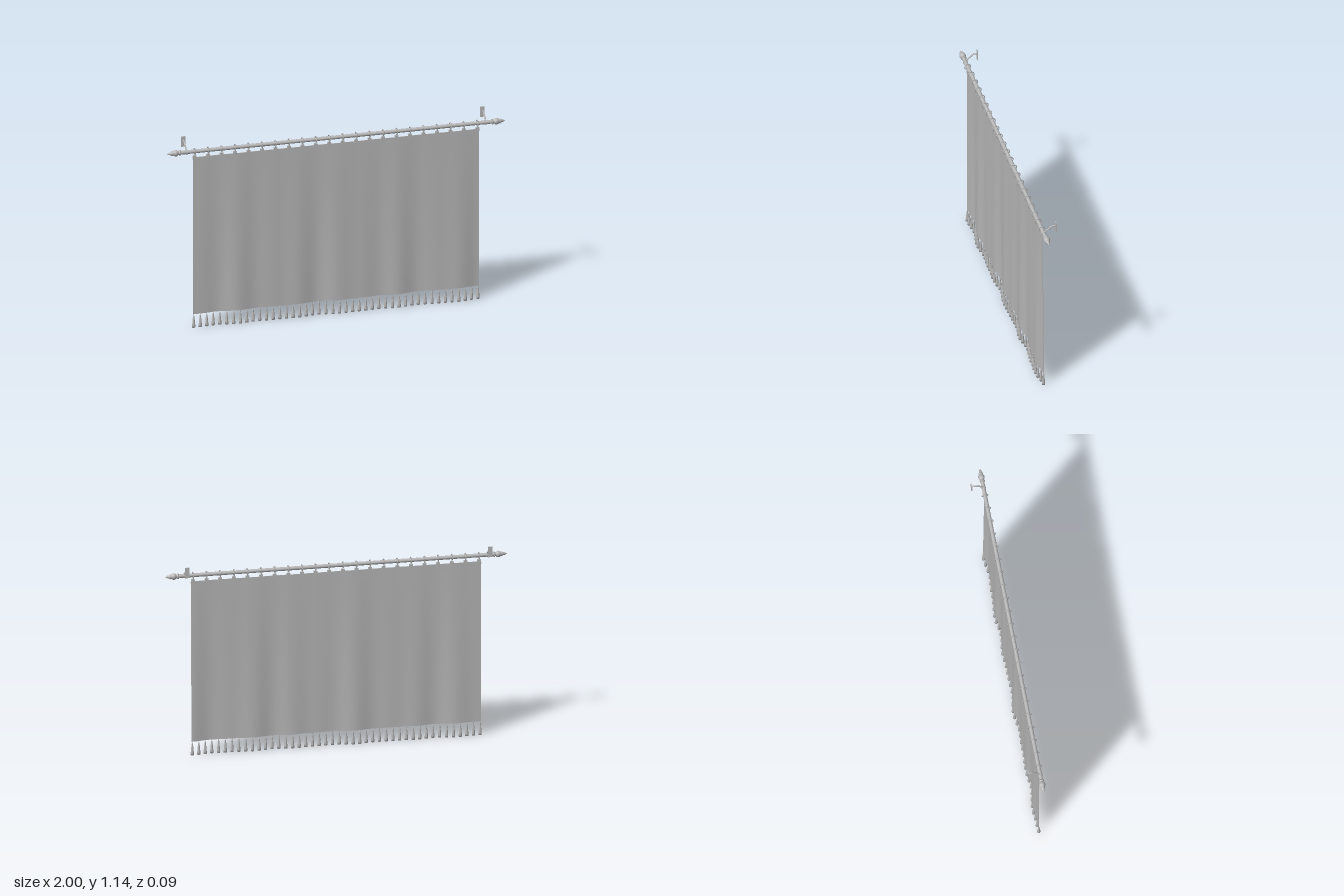
import * as THREE from 'three';

const ROD_Y = 1.073, ROD_Z = 0.027, HALF = 0.845;
const TOP = 1.037, BOTTOM = 0.08;

// Fold depth of the cloth, growing towards the hem
function foldZ(x, y) {
  const t = THREE.MathUtils.clamp((TOP - y) / (TOP - BOTTOM), 0, 1);
  const wave = 0.5 * Math.sin(x * 20 + 0.6) + 0.3 * Math.sin(x * 33 + 2) + 0.2 * Math.sin(x * 11);
  return ROD_Z + wave * (0.002 + 0.009 * t);
}

export function createModel() {
  const root = new THREE.Group();
  root.name = 'curtain';
  const grey = new THREE.MeshStandardMaterial({ color: 0xb8b8b8 });
  grey.name = 'grey';

  function add(parent, name, geometry, x = 0, y = 0, z = 0) {
    const mesh = new THREE.Mesh(geometry, grey);
    mesh.name = name;
    mesh.position.set(x, y, z);
    parent.add(mesh);
    return mesh;
  }
  const lathe = (points, sides) =>
    new THREE.LatheGeometry(points.map(([r, y]) => new THREE.Vector2(r, y)), sides);

  // Rod
  add(root, 'rod', new THREE.CylinderGeometry(0.011, 0.011, 1.86, 16), 0, ROD_Y, ROD_Z).rotation.z = Math.PI / 2;

  // Finials: collar, bulb and pointed tip
  const finial = lathe([[0, 0], [0.015, 0], [0.016, 0.006], [0.011, 0.01], [0.011, 0.014], [0.017, 0.02],
    [0.019, 0.028], [0.017, 0.037], [0.011, 0.044], [0.014, 0.047], [0.014, 0.051], [0.009, 0.056],
    [0.008, 0.064], [0.004, 0.073], [0, 0.08]], 16);

  // Wall bracket: bent arm, rod collar and plate
  const armPath = new THREE.CurvePath();
  const bend = [[ROD_Y + 0.012, ROD_Z - 0.005], [1.116, -0.014], [1.12, -0.022], [1.12, -0.042]]
    .map(([y, z]) => new THREE.Vector3(0, y, z));
  armPath.add(new THREE.LineCurve3(bend[0], bend[1]));
  armPath.add(new THREE.LineCurve3(bend[1], bend[2]));
  armPath.add(new THREE.LineCurve3(bend[2], bend[3]));
  const arm = new THREE.TubeGeometry(armPath, 16, 0.0045, 8);

  for (const side of [-1, 1]) {
    add(root, 'finial', finial, side * 0.918, ROD_Y, ROD_Z).rotation.z = -side * Math.PI / 2;
    const bracket = new THREE.Group();
    bracket.name = 'bracket';
    bracket.position.x = side * 0.883;
    root.add(bracket);
    add(bracket, 'bracketArm', arm);
    add(bracket, 'bracketCollar', new THREE.CylinderGeometry(0.0135, 0.0135, 0.012, 16), 0, ROD_Y, ROD_Z)
      .rotation.z = Math.PI / 2;
    add(bracket, 'wallPlate', new THREE.BoxGeometry(0.025, 0.062, 0.005), 0, 1.112, -0.0425);
  }

  // Rings with cloth clips
  const ring = new THREE.TorusGeometry(0.0175, 0.0028, 6, 20);
  const clip = new THREE.BoxGeometry(0.026, 0.024, 0.008);
  const cp = clip.attributes.position;
  for (let i = 0; i < cp.count; i++) if (cp.getY(i) > 0) cp.setX(i, cp.getX(i) * 0.75);
  clip.computeVertexNormals();
  const link = new THREE.CylinderGeometry(0.0025, 0.0025, 0.01, 6);
  for (let i = 0; i < 22; i++) {
    const hanger = new THREE.Group();
    hanger.name = 'hanger';
    hanger.position.set(-0.834 + i * 1.668 / 21, 0, ROD_Z);
    root.add(hanger);
    add(hanger, 'ring', ring, 0, ROD_Y, 0).rotation.y = Math.PI / 2;
    add(hanger, 'clipLink', link, 0, 1.052, 0);
    add(hanger, 'clip', clip, 0, 1.037, 0);
  }

  // Cloth panel with soft folds
  const cloth = new THREE.BoxGeometry(HALF * 2, TOP - BOTTOM, 0.003, 160, 12, 1);
  cloth.translate(0, (TOP + BOTTOM) / 2, 0);
  const p = cloth.attributes.position, n = cloth.attributes.normal;
  const v = new THREE.Vector3(), e = 0.001;
  for (let i = 0; i < p.count; i++) {
    const x = p.getX(i), y = p.getY(i);
    p.setZ(i, p.getZ(i) + foldZ(x, y));
    if (Math.abs(n.getZ(i)) > 0.5) {
      const slope = (foldZ(x + e, y) - foldZ(x - e, y)) / (2 * e);
      v.set(-slope, 0, 1).normalize().multiplyScalar(Math.sign(n.getZ(i)));
      n.setXYZ(i, v.x, v.y, v.z);
    }
  }
  add(root, 'cloth', cloth);

  // Tassel fringe along the hem
  const tassel = lathe([[0, 0], [0.0095, 0], [0.0095, 0.012], [0.0075, 0.034], [0.0055, 0.053], [0.0035, 0.056],
    [0.005, 0.06], [0.005, 0.066], [0.0025, 0.07], [0.002, 0.082], [0, 0.082]], 8);
  for (let i = 0; i < 44; i++) {
    const x = -0.84 + i * 1.68 / 43;
    add(root, 'tassel', tassel, x, 0, foldZ(x, BOTTOM));
  }
  return root;
}
